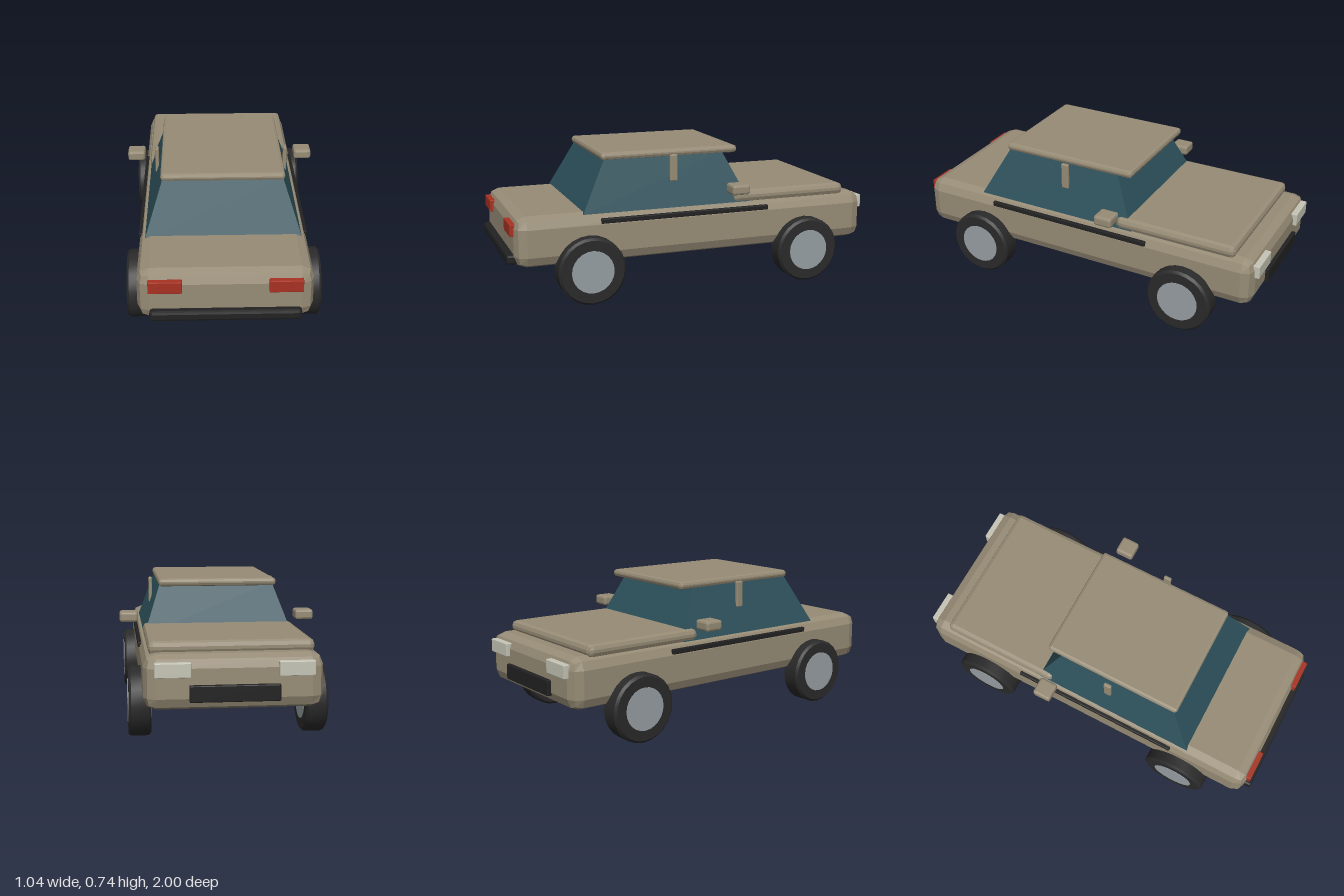
import * as THREE from 'three';
import { RoundedBoxGeometry } from 'three/addons/geometries/RoundedBoxGeometry.js';
import { toCreasedNormals } from 'three/addons/utils/BufferGeometryUtils.js';

const material = (name, color) => {
  const m = new THREE.MeshStandardMaterial({ color });
  m.name = name;
  return m;
};

export function createModel() {
  const car = new THREE.Group();
  car.name = 'car';

  const paint = material('tan paint', 0x978c76);
  const glass = material('teal glass', 0x2d515b);
  const rubber = material('tyre rubber', 0x2a2a2a);
  const trim = material('black trim', 0x222222);
  const metal = material('hub metal', 0x969ea2);
  const red = material('tail lamp red', 0xa83222);
  const lamp = material('headlamp white', 0xc6c5b6);

  const add = (name, geometry, mat) => {
    const mesh = new THREE.Mesh(geometry, mat);
    mesh.name = name;
    car.add(mesh);
    return mesh;
  };

  // Bevelled block given by its extents on each axis
  const block = (name, mat, [x0, x1], [y0, y1], [z0, z1], bevel) => {
    const g = new RoundedBoxGeometry(x1 - x0, y1 - y0, z1 - z0, 1, bevel);
    g.computeVertexNormals();
    const mesh = add(name, g, mat);
    mesh.position.set((x0 + x1) / 2, (y0 + y1) / 2, (z0 + z1) / 2);
    return mesh;
  };

  // The same block on both sides of the car
  const pair = (name, mat, [x0, x1], y, z, bevel) => {
    block('left ' + name, mat, [x0, x1], y, z, bevel);
    block('right ' + name, mat, [-x1, -x0], y, z, bevel);
  };

  // Body, hood and roof
  block('body', paint, [-0.425, 0.425], [0.198, 0.46], [-0.98, 0.962], 0.06);
  block('hood', paint, [-0.398, 0.398], [0.445, 0.51], [-0.872, -0.213], 0.025);
  block('roof', paint, [-0.314, 0.314], [0.703, 0.743], [-0.264, 0.489], 0.016);

  // Glass cabin: a box whose top is drawn in
  const cabin = new THREE.BoxGeometry(2, 1, 2).toNonIndexed();
  const p = cabin.attributes.position;
  for (let i = 0; i < p.count; i++) {
    const top = p.getY(i) > 0;
    const rear = p.getZ(i) > 0;
    p.setXYZ(
      i,
      Math.sign(p.getX(i)) * (top ? 0.303 : 0.394),
      top ? 0.715 : 0.45,
      top ? (rear ? 0.47 : -0.178) : (rear ? 0.61 : -0.306)
    );
  }
  cabin.computeVertexNormals();
  add('cabin glass', cabin, glass);

  // Door pillars, mirrors and side strips
  pair('pillar', paint, [0.333, 0.353], [0.58, 0.72], [0.087, 0.129], 0.006);
  pair('mirror', paint, [0.424, 0.521], [0.515, 0.568], [-0.253, -0.154], 0.012);
  pair('side strip', trim, [0.41, 0.431], [0.404, 0.43], [-0.4, 0.524], 0.004);

  // Lamps, bumper and grille
  pair('tail lamp', red, [0.207, 0.369], [0.361, 0.425], [0.95, 0.98], 0.004);
  pair('headlamp', lamp, [0.205, 0.375], [0.36, 0.43], [-1, -0.965], 0.004);
  block('bumper', trim, [-0.365, 0.365], [0.214, 0.268], [0.945, 0.998], 0.014);
  block('grille', trim, [-0.213, 0.213], [0.243, 0.323], [-1, -0.965], 0.005);

  // Wheels: bevelled tyre with a hub showing on both faces
  const w = 0.055, r = 0.175, b = 0.012;
  const profile = [[0, -w], [r - b, -w], [r, b - w], [r, w - b], [r - b, w], [0, w]];
  const tyre = toCreasedNormals(
    new THREE.LatheGeometry(profile.map(([x, y]) => new THREE.Vector2(x, y)), 24), 0.5);
  const hub = new THREE.CylinderGeometry(0.11, 0.11, 2 * w + 0.006, 24);
  for (const [end, z] of [['rear', 0.589], ['front', -0.617]]) {
    for (const [side, x] of [['left', 0.434], ['right', -0.434]]) {
      for (const [part, g, mat] of [['tyre', tyre, rubber], ['hub', hub, metal]]) {
        const mesh = add(`${end} ${side} ${part}`, g, mat);
        mesh.position.set(x, r, z);
        mesh.rotation.z = Math.PI / 2;
      }
    }
  }

  return car;
}
